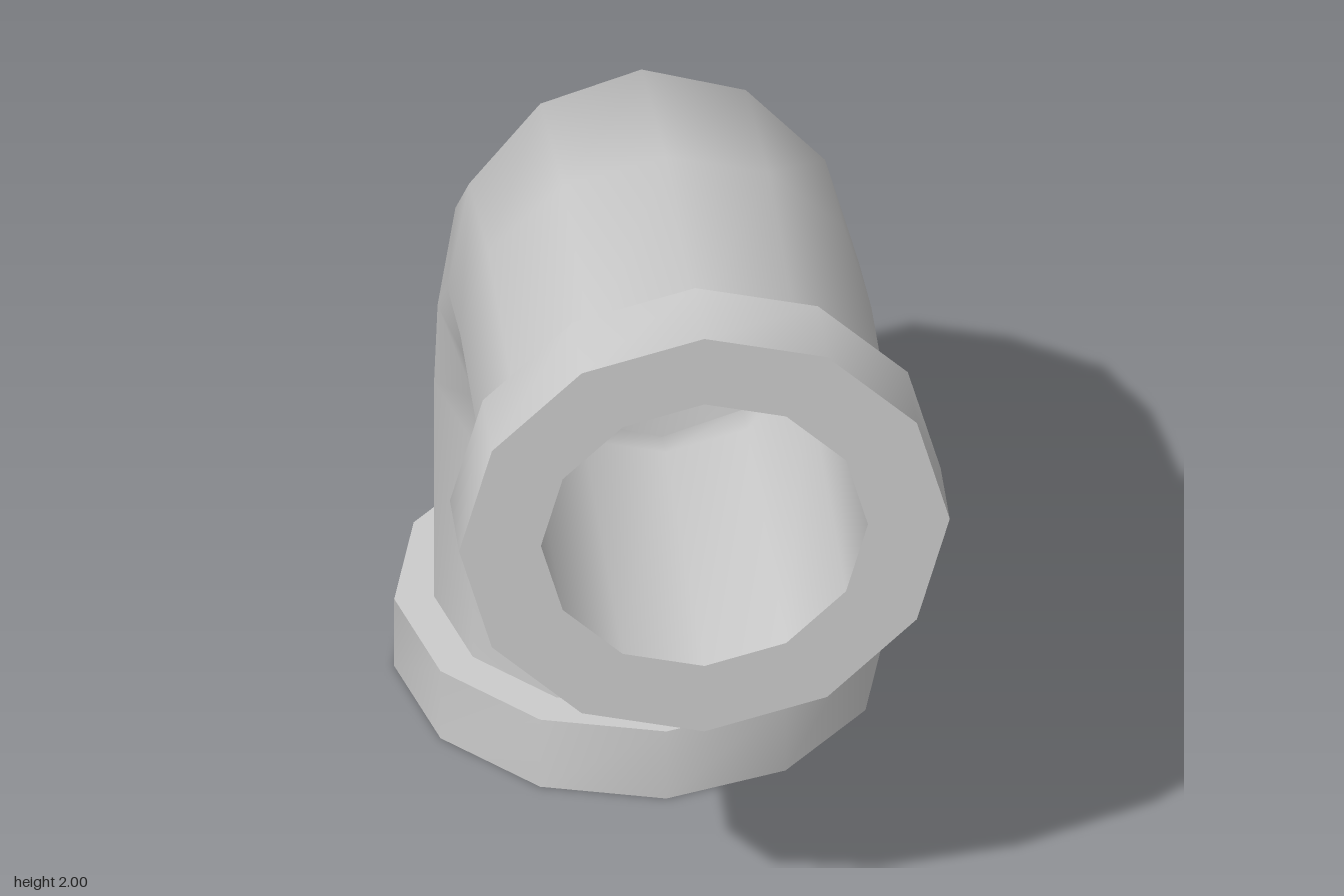
import * as THREE from 'three';
import { toCreasedNormals } from 'three/addons/utils/BufferGeometryUtils.js';

const SIDES = 12;
const BEND = { y: 0.84, z: 0.16, radius: 0.575 }; // centre and radius of the elbow
const END = 0.84;        // straight run from elbow to open end
const COLLAR = END - 0.2; // inner face of each flange
const PIPE = 0.49, FLANGE = 0.585, BORE = 0.39;

// Skin rings along the pipe: each station is [bend angle in degrees, offset along pipe, ring radius]
function loft(stations) {
  const pos = [], index = [];
  for (const [deg, offset, r] of stations) {
    const a = THREE.MathUtils.degToRad(deg);
    const s = Math.sin(a), c = Math.cos(a);
    for (let j = 0; j < SIDES; j++) {
      const t = (j / SIDES) * Math.PI * 2;
      const d = BEND.radius + r * Math.cos(t);
      pos.push(r * Math.sin(t), BEND.y + d * s + offset * c, BEND.z - d * c + offset * s);
    }
  }
  for (let i = 0; i < stations.length - 1; i++) {
    for (let j = 0; j < SIDES; j++) {
      const k = (j + 1) % SIDES;
      const p = i * SIDES + j, q = i * SIDES + k;
      index.push(p, p + SIDES, q, q, p + SIDES, q + SIDES);
    }
  }
  const geo = new THREE.BufferGeometry();
  geo.setAttribute('position', new THREE.Float32BufferAttribute(pos, 3));
  geo.setIndex(index);
  return toCreasedNormals(geo, 0.75);
}

export function createModel() {
  const group = new THREE.Group();
  const material = new THREE.MeshStandardMaterial({ color: 0xcccccc });
  const add = (name, stations) => {
    const mesh = new THREE.Mesh(loft(stations), material);
    mesh.name = name;
    group.add(mesh);
  };

  // Straight run, three-segment bend, straight run
  const run = (r, end) => [
    [0, -end, r], [0, 0, r], [30, 0, r], [60, 0, r], [90, 0, r], [90, end, r],
  ];
  add('outerPipe', run(PIPE, COLLAR));
  add('innerBore', run(BORE, END).reverse());

  // Flanges: open-end face, rim, then step down to the pipe
  const flange = [[END, BORE], [END, FLANGE], [COLLAR, FLANGE], [COLLAR, PIPE]];
  add('bottomFlange', flange.map(([o, r]) => [0, -o, r]));
  add('frontFlange', flange.map(([o, r]) => [90, o, r]).reverse());

  return group;
}
